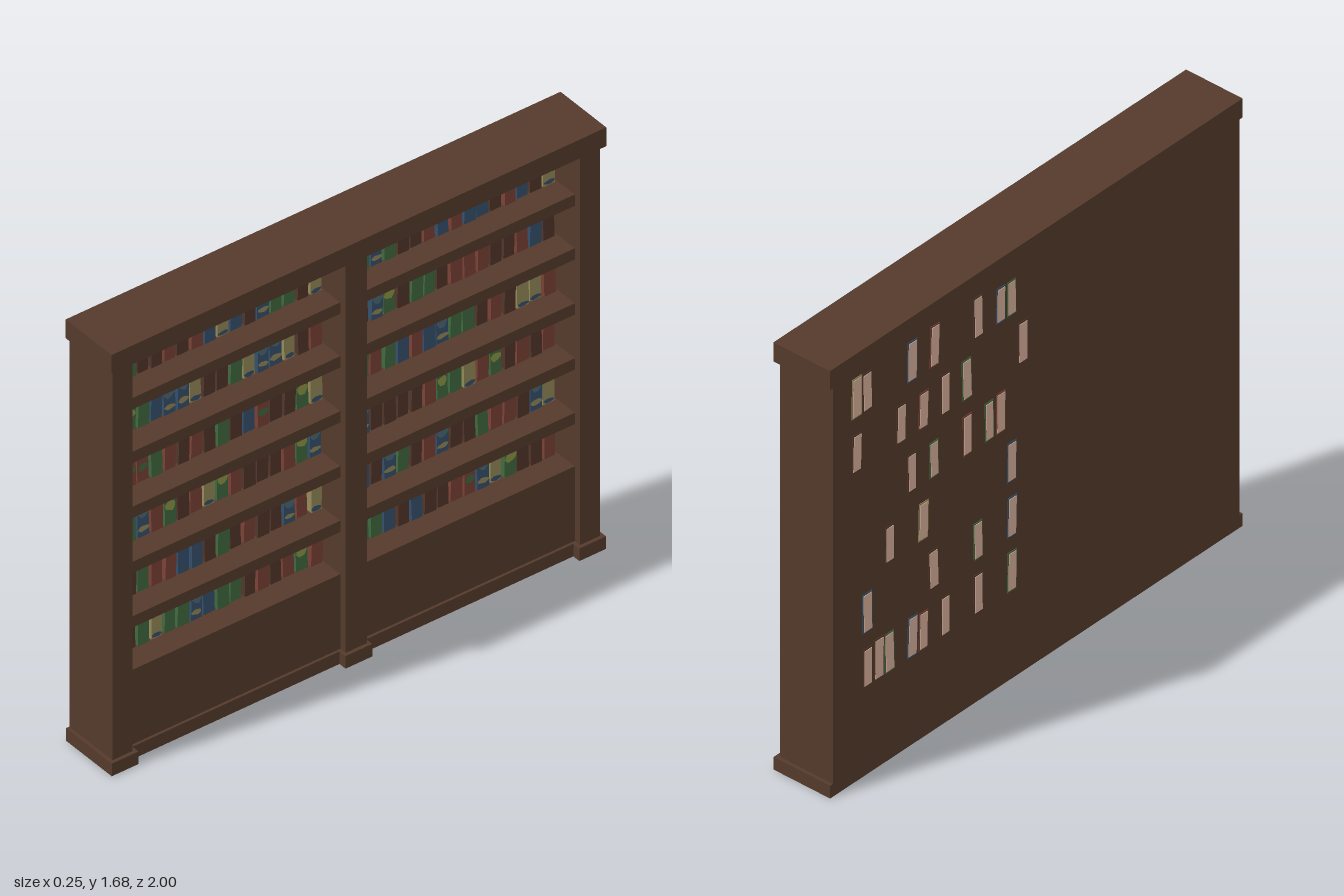
import * as THREE from 'three';

const mat = (name, color) => {
  const m = new THREE.MeshStandardMaterial({ color });
  m.name = name;
  return m;
};

export function createModel() {
  const wood = mat('wood', 0x543a2b);
  const brown = mat('brown leather', 0x50352a);
  const red = mat('red cover', 0x7a4136);
  const green = mat('green cover', 0x40693f);
  const blue = mat('blue cover', 0x34506b);
  const tan = mat('tan cover', 0x958a58);
  const yellow = mat('yellow label', 0x8c9645);
  const slate = mat('slate label', 0x4d6a74);
  const pages = mat('pages', 0xd8b09c);

  const model = new THREE.Group();
  model.name = 'bookcase';

  // Box given by its limits on each axis
  const box = (parent, name, material, x0, x1, y0, y1, z0, z1) => {
    const mesh = new THREE.Mesh(new THREE.BoxGeometry(x1 - x0, y1 - y0, z1 - z0), material);
    mesh.position.set((x0 + x1) / 2, (y0 + y1) / 2, (z0 + z1) / 2);
    mesh.name = name;
    parent.add(mesh);
  };

  let seed = 7;
  const rand = (a, b) => {
    seed = (seed * 16807) % 2147483647;
    return a + (b - a) * (seed / 2147483647);
  };

  // Carcass, open towards +x
  const BACK = -0.119;
  box(model, 'cornice', wood, BACK, 0.122, 1.61, 1.685, -1, 1);
  box(model, 'backPanel', wood, BACK, -0.1, 0.05, 1.61, -0.95, 0.95);
  for (const z of [-0.945, 0, 0.945]) {
    const half = z ? 0.04 : 0.043;
    box(model, 'post', wood, BACK, 0.108, 0.05, 1.61, z - half, z + half);
    box(model, 'postFoot', wood, BACK, 0.122, 0, 0.05, z - 0.054, z + 0.054);
  }

  const shelfTops = [0.348, 0.562, 0.78, 1.0, 1.22, 1.435];
  for (const s of [-1, 1]) {
    const z0 = s > 0 ? 0.043 : -0.905;
    const z1 = s > 0 ? 0.905 : -0.043;
    box(model, 'baseRail', wood, BACK, 0.09, 0, 0.05, z0, z1);
    box(model, 'lowerPanel', wood, BACK + 0.01, 0.08, 0.05, shelfTops[0], z0, z1);
    for (const y of shelfTops.slice(1)) {
      box(model, 'shelf', wood, BACK + 0.01, 0.08, y - 0.045, y, z0, z1);
    }
  }

  // Books per shelf from the bottom up, each bay from +z to -z; small letters carry labels
  const rows = [
    ['NNGtGGbBGGNRNRgR', 'GGGBNBNNRrbtgNNR'],
    ['tNGRRBBNGNRNNbRt', 'RBNbGNRbNNGRRNbt'],
    ['tGbRgNRtgRNNNRgb', 'NbNNNNRgGtRgNRNR'],
    ['NrrGRNRNGNBrNNgt', 'NGRGBRBbGGNRNttR'],
    ['tgGBbbtNNGtbbtNR', 'NNbgNGGNRRRNNRBN'],
    ['tgNNRNRBtBNbGGNt', 'NGbgNNRBRBBNRBNt'],
  ];
  // Books of the second bay that show through the back panel
  const showing = [
    [1, 4, 7, 9, 10, 12, 13, 14],
    [1, 4, 8, 14],
    [1, 9, 12],
    [2, 3, 5, 8, 10],
    [0, 5, 7, 9, 11, 15],
    [1, 2, 4, 8, 10, 14, 15],
  ];
  const covers = { N: brown, R: red, G: green, B: blue, T: tan };
  // Worn patches: material, centre and half height as shares of the book height
  const patches = {
    r: [[green, 0.4, 0.1]],
    g: [[yellow, 0.5, 0.13]],
    b: [[slate, 0.65, 0.2], [tan, 0.2, 0.07]],
    t: [[slate, 0.85, 0.14], [blue, 0.08, 0.06]],
  };

  const addBook = (row, code, y, z, shows) => {
    const book = new THREE.Group();
    book.name = 'book';
    book.position.set(0, y, z);
    const h = rand(0.135, 0.162);
    const w = rand(0.041, 0.048) / 2;
    const front = rand(-0.014, -0.006);
    const cover = covers[code.toUpperCase()];
    box(book, 'cover', cover, shows ? -0.121 : -0.115, front, 0, h, -w, w);

    // Ragged patches on the spine
    for (const [material, centre, half] of patches[code] || []) {
      const points = [];
      for (let i = 0; i < 8; i++) {
        const a = (i + 0.5) * Math.PI / 4;
        const u = Math.max(-1, Math.min(1, Math.cos(a) * rand(0.8, 1.2)));
        const v = centre + Math.sin(a) * half * rand(0.8, 1.3);
        points.push(new THREE.Vector2(u * w, Math.max(0, Math.min(1, v)) * h));
      }
      const patch = new THREE.Mesh(new THREE.ShapeGeometry(new THREE.Shape(points)), material);
      patch.name = 'spinePatch';
      patch.rotation.y = Math.PI / 2;
      patch.position.x = front + 0.001;
      book.add(patch);
    }
    // Page edges behind the back panel
    if (shows) box(book, 'pageEdges', pages, -0.123, -0.11, 0.006, h - 0.006, -w * 0.8, w * 0.8);
    book.rotation.x = rand(-0.04, 0.04);
    row.add(book);
  };

  rows.forEach((bays, r) => bays.forEach((codes, bay) => {
    const row = new THREE.Group();
    row.name = 'bookRow';
    [...codes].forEach((code, i) => {
      const z = (bay ? -0.066 : 0.877) - i * 0.0537;
      addBook(row, code, shelfTops[r], z, bay === 1 && showing[r].includes(i));
    });
    model.add(row);
  }));

  return model;
}
